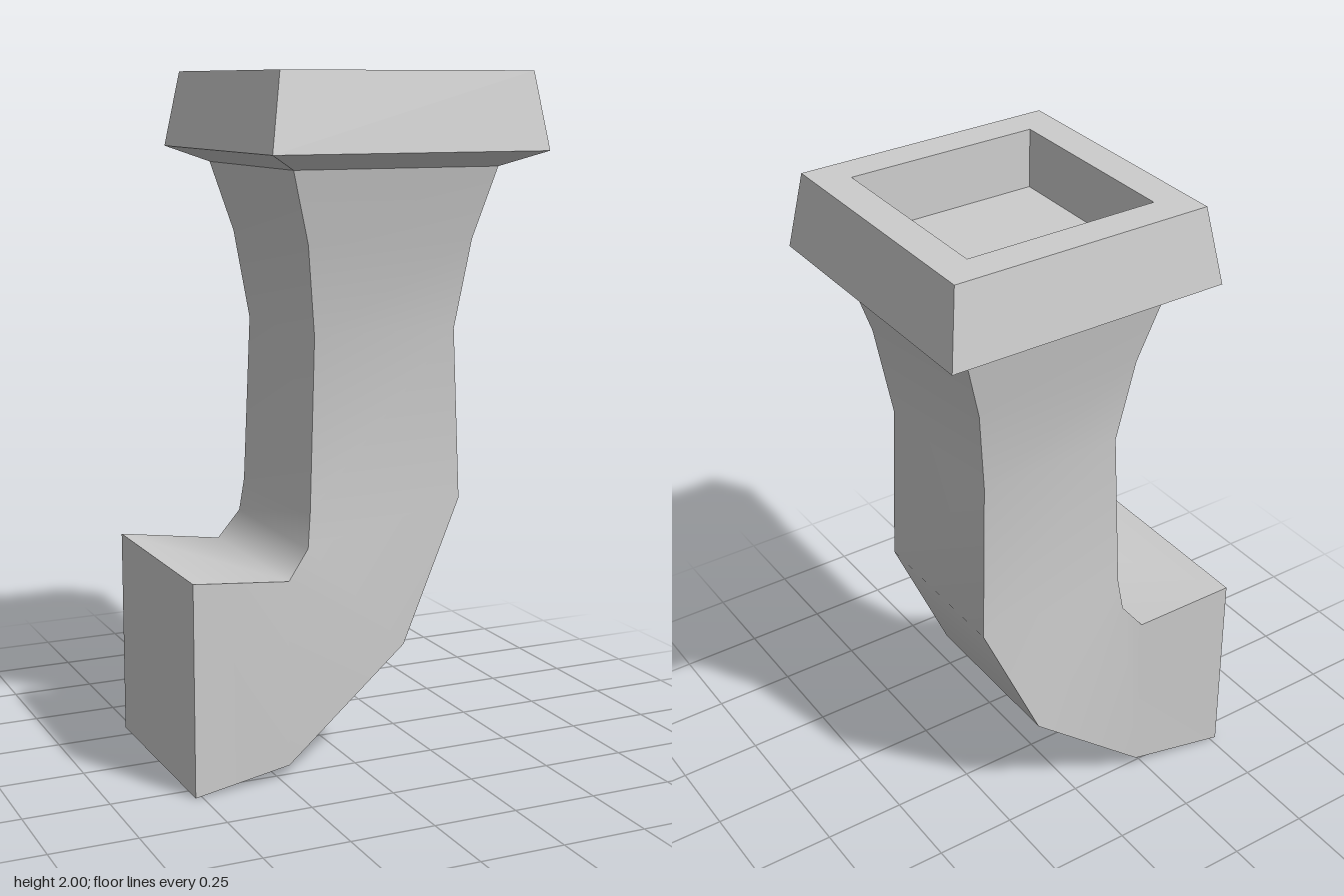
import * as THREE from 'three';
import { toCreasedNormals } from 'three/addons/utils/BufferGeometryUtils.js';

// Each section is [innerX, innerY, outerX, outerY, halfDepth]
const rim = [-0.22, 1.735, 0.41, 1.735, 0.315];

const shaftSections = [
  [-0.52, 0.62, -0.52, 0.003, 0.31],
  [-0.22, 0.585, -0.22, 0.04, 0.275],
  [-0.155, 0.67, 0.15, 0.35, 0.262],
  [-0.143, 0.77, 0.333, 0.77, 0.25],
  [-0.125, 1.27, 0.315, 1.27, 0.24],
  [-0.16, 1.53, 0.35, 1.53, 0.277],
  rim,
];

const capSections = [
  rim,
  [-0.325, 1.78, 0.515, 1.78, 0.42],
  [-0.288, 2, 0.48, 2, 0.384],
  [-0.19, 2, 0.382, 2, 0.286],
  [-0.183, 1.83, 0.375, 1.83, 0.279],
];

// Skin a run of four-cornered sections, optionally closing either end
function loft(name, sections, closeStart, closeEnd, crease) {
  const positions = [];
  const index = [];
  const quad = (a, b, c, d) => index.push(a, b, c, a, c, d);
  for (const [ix, iy, ox, oy, z] of sections) {
    positions.push(ix, iy, z, ox, oy, z, ox, oy, -z, ix, iy, -z);
  }
  for (let s = 0; s < sections.length - 1; s++) {
    for (let k = 0; k < 4; k++) {
      const a = s * 4 + k;
      const b = s * 4 + (k + 1) % 4;
      quad(a, b, b + 4, a + 4);
    }
  }
  if (closeStart) quad(3, 2, 1, 0);
  const e = (sections.length - 1) * 4;
  if (closeEnd) quad(e, e + 1, e + 2, e + 3);

  const geometry = new THREE.BufferGeometry();
  geometry.setAttribute('position', new THREE.Float32BufferAttribute(positions, 3));
  geometry.setIndex(index);
  const mesh = new THREE.Mesh(
    toCreasedNormals(geometry, crease),
    new THREE.MeshStandardMaterial({ color: 0xcccccc, side: THREE.DoubleSide })
  );
  mesh.name = name;
  return mesh;
}

export function createModel() {
  const group = new THREE.Group();
  group.name = 'elbowPost';
  // Bent square shaft, rising from the side block
  group.add(loft('bentShaft', shaftSections, true, false, 1.1));
  // Flared square cap with a recessed tray
  group.add(loft('recessedCap', capSections, false, true, 0.5));
  return group;
}
